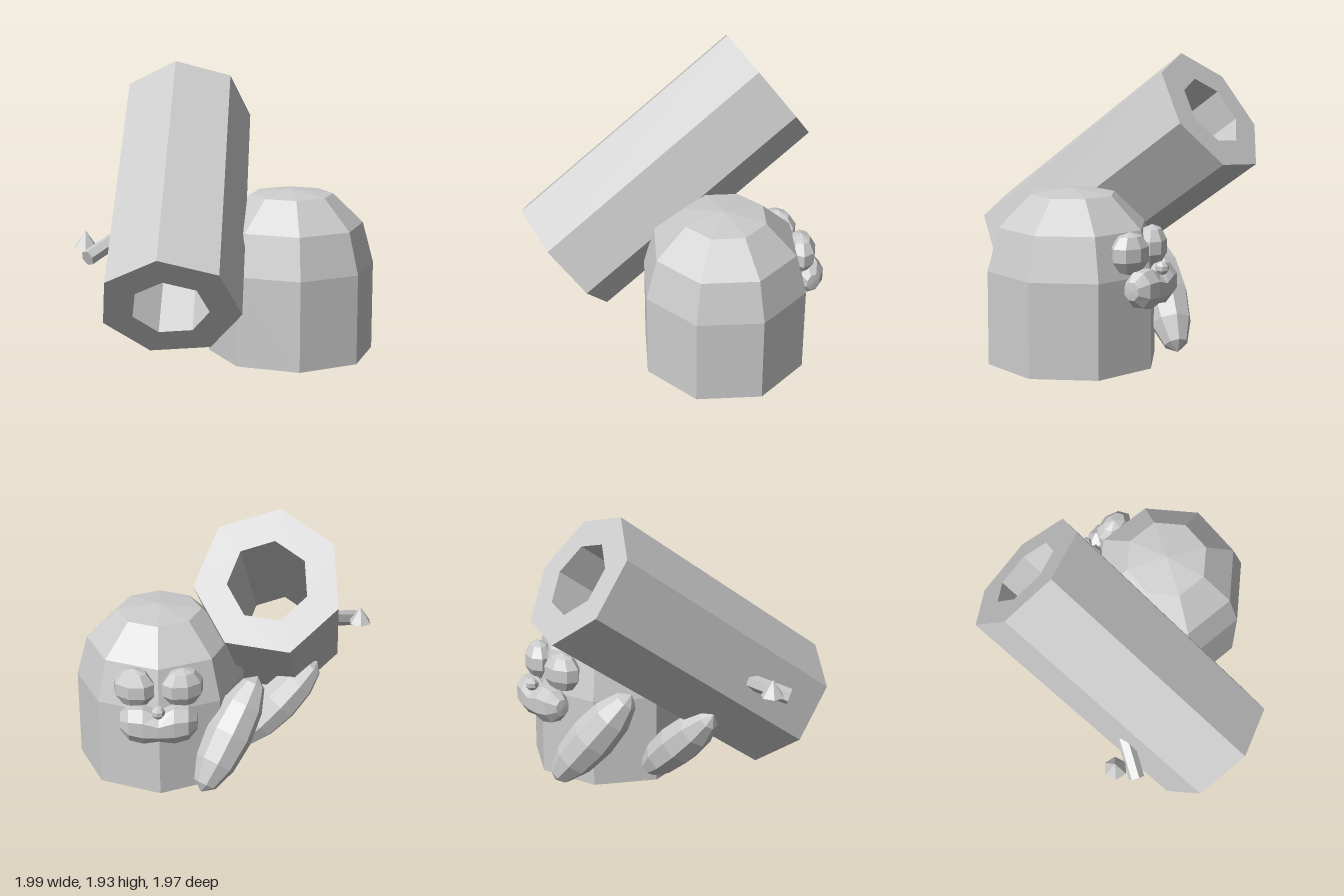
import * as THREE from 'three';

export function createModel() {
  const root = new THREE.Group();
  const grey = new THREE.MeshStandardMaterial({ color: 0xcccccc });
  const V = (x, y, z) => new THREE.Vector3(x, y, z);

  // Faceted mesh: unshared vertices give hard edges
  const add = (name, geometry, parent = root) => {
    const g = geometry.index ? geometry.toNonIndexed() : geometry;
    g.computeVertexNormals();
    const mesh = new THREE.Mesh(g, grey);
    mesh.name = name;
    parent.add(mesh);
    return mesh;
  };
  const lathe = (pts, sides) =>
    new THREE.LatheGeometry(pts.map(([r, y]) => new THREE.Vector2(r, y)), sides);
  // Place a mesh so its local y runs along the line from a to b
  const align = (mesh, a, b) => {
    mesh.position.copy(a).lerp(b, 0.5);
    mesh.quaternion.setFromUnitVectors(V(0, 1, 0), b.clone().sub(a).normalize());
    return mesh;
  };

  // Eight-sided domed body
  add('body', lathe([[0, 0], [0.557, 0], [0.557, 0.6], [0.483, 0.875], [0.277, 1.075], [0, 1.11]], 8))
    .position.set(0.44, 0, -0.07);

  // Seven-sided hollow barrel, one corner pointing up
  const front = V(-0.4, 0.506, 0.724), back = V(-0.24, 1.566, -0.726);
  const axis = back.clone().sub(front);
  const length = axis.length();
  axis.normalize();
  const up = V(-0.177, 0.805, 0.566).addScaledVector(axis, -axis.dot(V(-0.177, 0.805, 0.566))).normalize();
  const barrel = add('barrel', lathe([[0.452, 0], [0.452, length], [0.25, length], [0.25, 0], [0.452, 0]], 7));
  barrel.quaternion.setFromRotationMatrix(
    new THREE.Matrix4().makeBasis(axis.clone().cross(up), axis, up));
  barrel.position.copy(front);

  // Face on the back of the dome
  const face = new THREE.Group();
  face.name = 'face';
  face.position.x = 0.44;
  root.add(face);
  for (const s of [-1, 1]) {
    const eye = add(s > 0 ? 'leftEye' : 'rightEye', new THREE.SphereGeometry(1, 8, 5), face);
    eye.scale.set(0.145, 0.135, 0.1);
    eye.position.set(s * 0.155, 0.755, -0.555);
    eye.rotation.y = -s * 0.35;
  }
  add('nose', new THREE.SphereGeometry(0.045, 7, 5), face).position.set(0, 0.652, -0.7);

  // Two-lobed muzzle: rings strung along x as [x, radius y, radius z, centre y, centre z]
  const half = [[0, 0.1, 0.1, 0.52, -0.645], [0.1, 0.135, 0.1, 0.535, -0.64],
    [0.19, 0.12, 0.09, 0.54, -0.63], [0.245, 0.06, 0.05, 0.54, -0.61], [0.25, 0, 0, 0.54, -0.61]];
  const rings = [...half.slice(1).reverse().map(([x, ...r]) => [-x, ...r]), ...half];
  const sides = 8, pos = [], idx = [];
  rings.forEach(([x, ry, rz, cy, cz], i) => {
    for (let j = 0; j < sides; j++) {
      const a = (j + 0.5) / sides * Math.PI * 2;
      pos.push(x, cy + ry * Math.cos(a), cz + rz * Math.sin(a));
      if (i === 0) continue;
      const k = (j + 1) % sides, p = (i - 1) * sides, q = i * sides;
      idx.push(p + j, p + k, q + j, p + k, q + k, q + j);
    }
  });
  const muzzle = new THREE.BufferGeometry();
  muzzle.setAttribute('position', new THREE.Float32BufferAttribute(pos, 3));
  muzzle.setIndex(idx);
  add('muzzle', muzzle, face);

  // Long rounded limbs propping up the barrel
  const limb = (name, a, b, r) => {
    const mesh = align(add(name, new THREE.SphereGeometry(1, 8, 6)), a, b);
    mesh.scale.set(r, a.distanceTo(b) / 2, r);
  };
  limb('nearLimb', V(0.175, 0.05, -0.69), V(-0.2, 0.7, -0.32), 0.155);
  limb('farLimb', V(-0.08, 0.08, -0.13), V(-0.62, 0.62, 0.03), 0.145);

  // Fuse stub and spark on the barrel's side
  const a = V(-0.72, 0.85, 0.22), b = V(-0.91, 0.76, 0.41);
  align(add('fuse', new THREE.CylinderGeometry(0.052, 0.052, a.distanceTo(b), 6)), a, b);
  const spark = add('spark', new THREE.ConeGeometry(0.078, 0.11, 6));
  spark.position.set(-0.925, 0.855, 0.262);

  return root;
}
